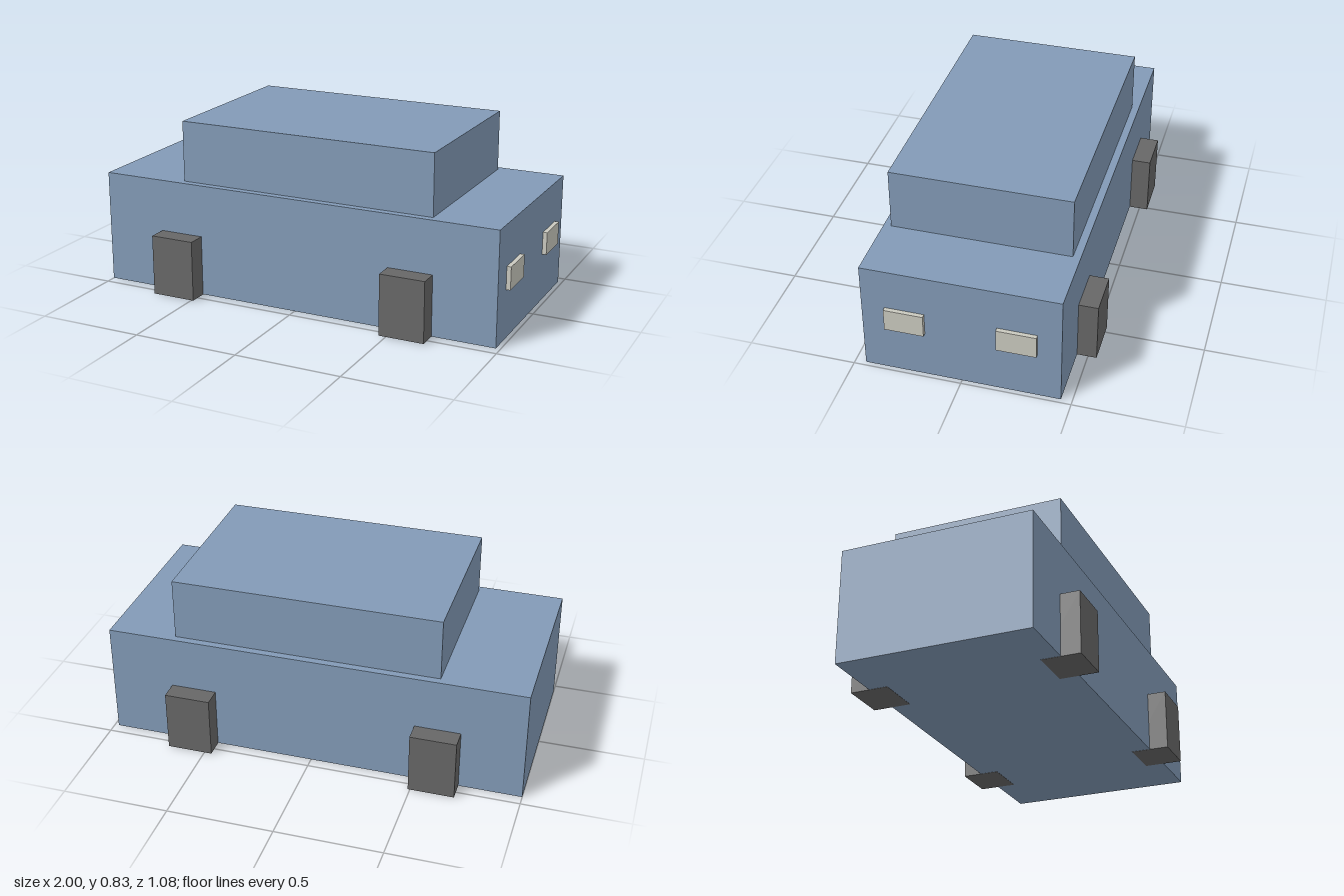
import * as THREE from 'three';

function material(name, color) {
  const m = new THREE.MeshStandardMaterial({ color });
  m.name = name;
  return m;
}

export function createModel() {
  const car = new THREE.Group();
  car.name = 'car';
  const paint = material('blueGreyPaint', 0x829ab6);
  const rubber = material('darkGreyRubber', 0x676767);
  const lamp = material('paleLamp', 0xcac9bf);

  // Box given by its lower and upper limits on each axis
  function box(name, mat, [x0, x1], [y0, y1], [z0, z1]) {
    const mesh = new THREE.Mesh(new THREE.BoxGeometry(x1 - x0, y1 - y0, z1 - z0), mat);
    mesh.position.set((x0 + x1) / 2, (y0 + y1) / 2, (z0 + z1) / 2);
    mesh.name = name;
    car.add(mesh);
  }

  // Lower body and cabin
  box('body', paint, [-1, 0.98], [0.001, 0.54], [-0.45, 0.45]);
  box('cabin', paint, [-0.595, 0.663], [0.54, 0.83], [-0.415, 0.415]);

  for (const side of [-1, 1]) {
    const span = (a, b) => (side > 0 ? [a, b] : [-b, -a]);
    const label = side > 0 ? 'Near' : 'Far';

    // Block wheels, partly sunk into the body
    box('rearWheel' + label, rubber, [-0.705, -0.49], [0, 0.29], span(0.36, 0.54));
    box('frontWheel' + label, rubber, [0.465, 0.68], [0, 0.29], span(0.36, 0.54));

    // Headlights on the +x end
    box('headlight' + label, lamp, [0.96, 1], [0.235, 0.343], span(0.163, 0.343));
  }
  return car;
}
